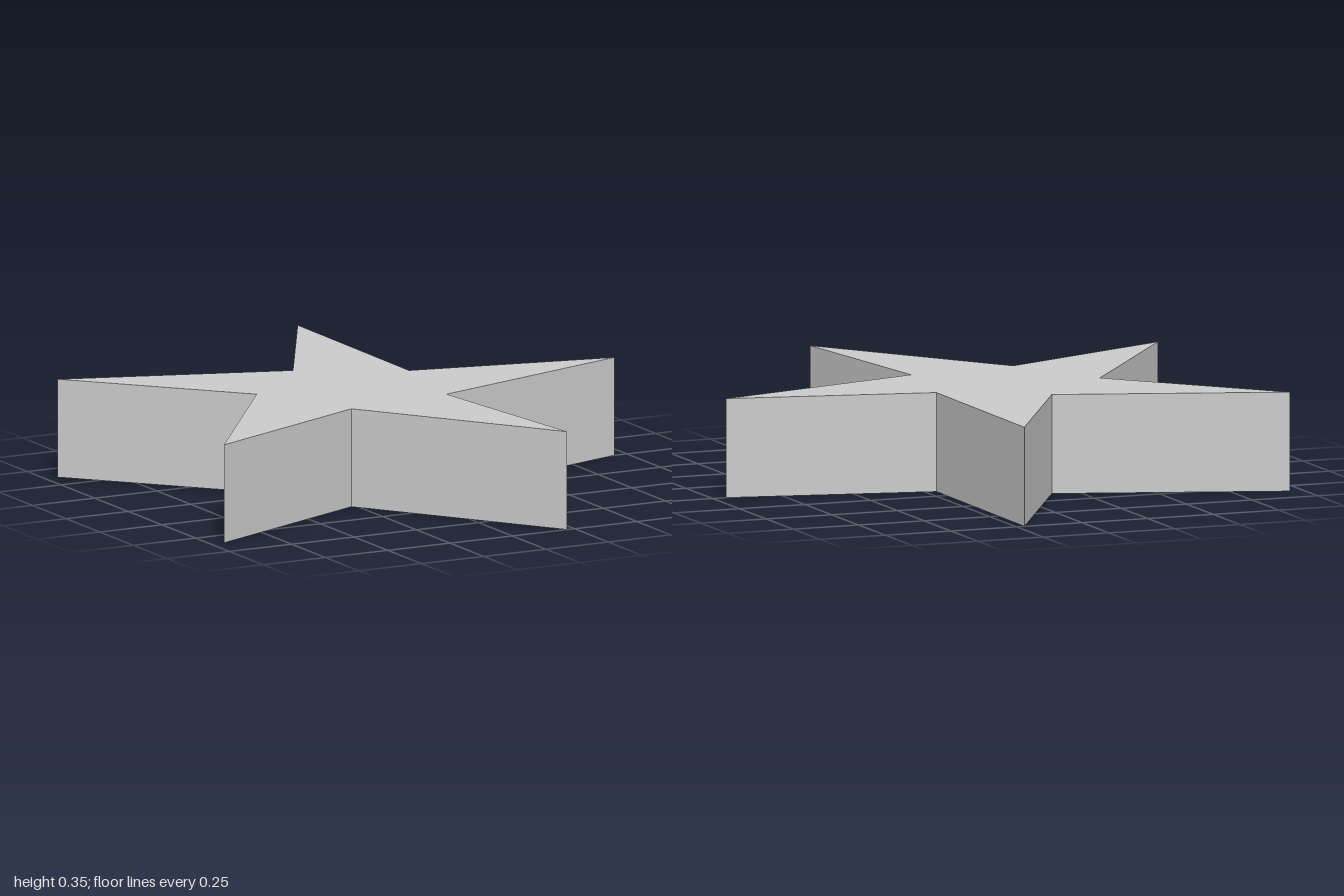
import * as THREE from 'three';

// Star outline as [x, z], tips alternating with slightly irregular notches
const outline = [
  [0.95, 0], [0.21, -0.155],
  [0.22, -1], [-0.15, -0.35],
  [-0.95, -0.617], [-0.45, -0.065],
  [-0.95, 0.617], [-0.27, 0.306],
  [0.22, 1], [0.14, 0.253],
];
const height = 0.354;

export function createModel() {
  const group = new THREE.Group();
  group.name = 'star';

  // Straight-sided slab, extruded upward from the ground
  const shape = new THREE.Shape(outline.map(([x, z]) => new THREE.Vector2(x, -z)));
  const geometry = new THREE.ExtrudeGeometry(shape, { depth: height, bevelEnabled: false });
  geometry.rotateX(-Math.PI / 2);

  const material = new THREE.MeshStandardMaterial({ color: 0xcccccc, flatShading: true });
  const body = new THREE.Mesh(geometry, material);
  body.name = 'starBody';
  group.add(body);
  return group;
}
